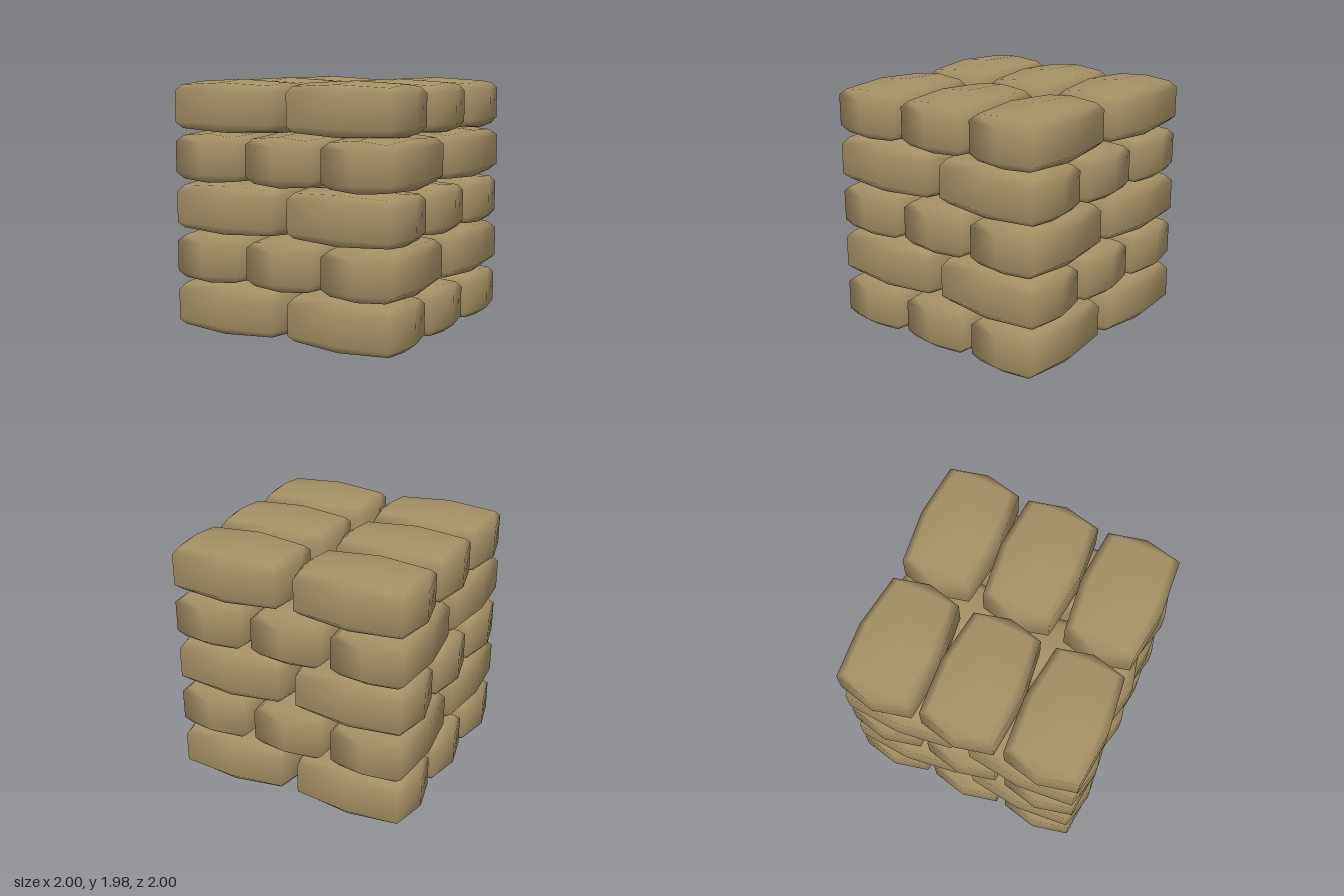
import * as THREE from 'three';
import { mergeVertices } from 'three/addons/utils/BufferGeometryUtils.js';

// Half profile of a bag: [z, y] from the top ridge, down one side, to the bottom ridge
const HALF = [[0, 0.21], [0.26, 0.187], [0.325, 0.12], [0.325, -0.12], [0.26, -0.187], [0, -0.21]];
const RING = [...HALF, ...HALF.slice(1, -1).reverse().map(([z, y]) => [-z, y])];

// Plump bag along x: full middle section, narrower shoulders, each end pinched to a short upright edge
function bagGeometry() {
  const stations = [
    { x: -0.495, tip: true },
    { x: -0.42, z: 0.83, y: 0.9 },
    { x: 0, z: 1, y: 1 },
    { x: 0.42, z: 0.89, y: 0.9 },
    { x: 0.495, tip: true },
  ];
  const positions = [];
  const index = [];
  const n = RING.length;
  for (const s of stations) {
    for (const [z, y] of RING) {
      if (s.tip) {
        positions.push(s.x, Math.sign(y) * 0.12, 0);
      } else {
        const onSide = Math.abs(y) === 0.12;
        const x = onSide ? s.x * 1.02 : s.x * 0.96;
        positions.push(x, onSide ? y : y * s.y, z * s.z);
      }
    }
  }
  for (let i = 0; i < stations.length - 1; i++) {
    for (let j = 0; j < n; j++) {
      const a = i * n + j;
      const b = i * n + (j + 1) % n;
      index.push(a, b, a + n, b, b + n, a + n);
    }
  }
  const geometry = new THREE.BufferGeometry();
  geometry.setAttribute('position', new THREE.Float32BufferAttribute(positions, 3));
  geometry.setIndex(index);
  const merged = mergeVertices(geometry, 1e-4);
  merged.computeVertexNormals();
  return merged;
}

export function createModel() {
  const model = new THREE.Group();
  model.name = 'sandbagStack';
  const burlap = new THREE.MeshStandardMaterial({ color: 0xa39064 });
  burlap.name = 'burlap';
  const geometry = bagGeometry();

  // Five layers of two by three bags, each turned a quarter from the one below
  for (let layer = 0; layer < 5; layer++) {
    const course = new THREE.Group();
    course.name = `layer${layer + 1}`;
    course.position.y = 0.213 + layer * 0.39;
    course.rotation.y = layer % 2 ? -Math.PI / 2 : 0;
    for (const side of [-1, 1]) {
      for (const row of [-1, 0, 1]) {
        const bag = new THREE.Mesh(geometry, burlap);
        bag.name = 'sandbag';
        bag.position.set(side * 0.505, 0, row * 0.66);
        bag.rotation.y = side < 0 ? Math.PI : 0;
        course.add(bag);
      }
    }
    model.add(course);
  }
  return model;
}
